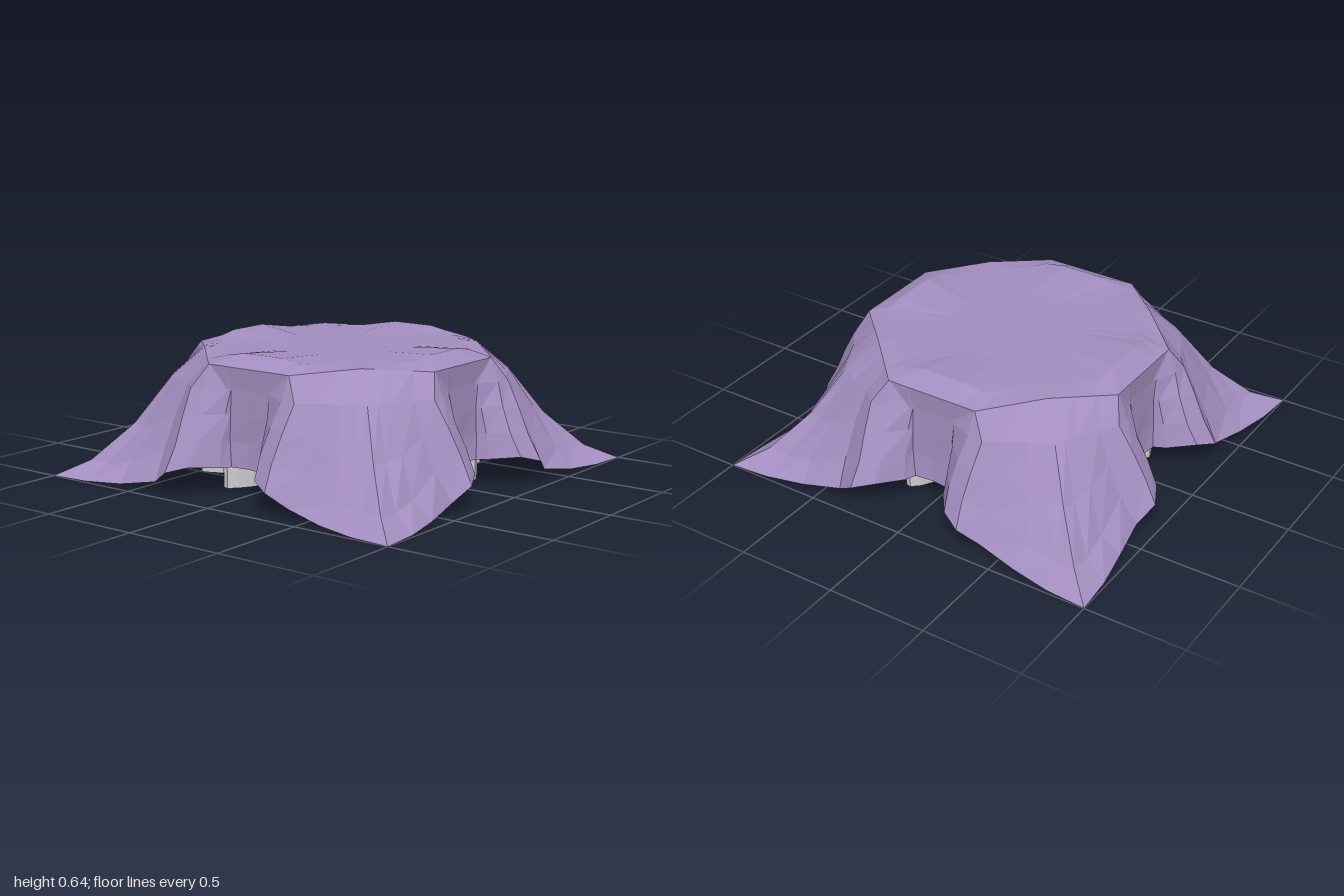
import * as THREE from 'three';

// Fold lines for one eighth of the cloth, from the middle of a side to the corner:
// x on the rim, then four points [x, y, z] down to the hem.
const FOLDS = [
  [0, [0, 0.49, 0.705], [0, 0.36, 0.71], [0, 0.24, 0.71], [0, 0.125, 0.72]],
  [0.13, [0.108, 0.49, 0.705], [0.11, 0.37, 0.71], [0.11, 0.25, 0.715], [0.09, 0.125, 0.73]],
  [0.235, [0.125, 0.485, 0.71], [0.125, 0.37, 0.73], [0.12, 0.25, 0.765], [0.11, 0.13, 0.79]],
  [0.238, [0.232, 0.48, 0.755], [0.205, 0.37, 0.8], [0.19, 0.25, 0.855], [0.2, 0.14, 0.91]],
  [0.24, [0.31, 0.48, 0.76], [0.3, 0.36, 0.83], [0.29, 0.23, 0.895], [0.3, 0.11, 0.96]],
  [0.31, [0.385, 0.48, 0.7], [0.41, 0.33, 0.765], [0.415, 0.18, 0.84], [0.4, 0.045, 0.92]],
  [0.39, [0.49, 0.48, 0.65], [0.56, 0.27, 0.76], [0.62, 0.095, 0.86], [0.6, 0.01, 0.95]],
  [0.435, [0.55, 0.48, 0.62], [0.65, 0.25, 0.735], [0.76, 0.07, 0.87], [0.8, 0, 0.985]],
  [0.475, [0.59, 0.48, 0.59], [0.72, 0.25, 0.72], [0.87, 0.075, 0.87], [1, 0, 1]],
];

// Full fold line: centre, two rings on the flat top, octagonal rim, then the skirt
function foldLine([x, ...skirt]) {
  const z = x < 0.24 ? 0.71 : 0.95 - x;
  const rimY = 0.593 + Math.max(0, x - 0.24) * 0.1;
  const innerY = 0.643 - 0.024 * THREE.MathUtils.smoothstep(x, 0.12, 0.31);
  return [
    [0, 0.618, 0],
    [x * 0.45, 0.62, z * 0.45],
    [x * 0.85, innerY, z * 0.85],
    [x, rimY, z],
    ...skirt,
  ];
}

function clothGeometry() {
  const eighth = FOLDS.map(foldLine);
  // Mirror across the diagonal to make a quarter
  const mirrored = eighth.slice(1, -1).reverse().map(line => line.map(([x, y, z]) => [z, y, x]));
  const quarter = [...eighth, ...mirrored];
  const lines = [];
  for (let q = 0; q < 4; q++) {
    const c = Math.round(Math.cos(q * Math.PI / 2));
    const s = Math.round(Math.sin(q * Math.PI / 2));
    for (const line of quarter) {
      lines.push(line.map(([x, y, z]) => [x * c + z * s, y, z * c - x * s]));
    }
  }
  const rows = lines[0].length;
  const index = [];
  for (let j = 0; j < lines.length; j++) {
    const a = j * rows;
    const b = ((j + 1) % lines.length) * rows;
    for (let i = 0; i < rows - 1; i++) {
      if (i > 0) index.push(a + i, a + i + 1, b + i);
      index.push(b + i, a + i + 1, b + i + 1);
    }
  }
  const geometry = new THREE.BufferGeometry();
  geometry.setAttribute('position', new THREE.Float32BufferAttribute(lines.flat(2), 3));
  geometry.setIndex(index);
  geometry.computeVertexNormals();
  return geometry;
}

function gearGeometry(teeth, height) {
  // Tooth outline: distance from the axis and half width
  const half = [[0.43, 0.052], [0.5, 0.062], [0.58, 0.062], [0.65, 0.043], [0.695, 0.015]];
  const tooth = [
    ...half.map(([r, w]) => [r, -w]),
    ...half.slice().reverse(),
  ];
  const points = [];
  for (let i = 0; i < teeth; i++) {
    // Gaps, not teeth, face the four sides
    const a = (i + 0.5) / teeth * Math.PI * 2;
    for (const [r, w] of tooth) {
      points.push(new THREE.Vector2(r, w).rotateAround(new THREE.Vector2(), a));
    }
  }
  const shape = new THREE.Shape(points);
  const bore = new THREE.Path();
  bore.absarc(0, 0, 0.12, 0, Math.PI * 2, true);
  shape.holes.push(bore);
  const geometry = new THREE.ExtrudeGeometry(shape, { depth: height, bevelEnabled: false, curveSegments: 12 });
  return geometry.rotateX(-Math.PI / 2);
}

export function createModel() {
  const model = new THREE.Group();
  model.name = 'drapedGear';

  // Toothed wheel standing under the cloth
  const gear = new THREE.Mesh(
    gearGeometry(12, 0.59),
    new THREE.MeshStandardMaterial({ color: 0xcccccc }),
  );
  gear.name = 'gear';

  // Square cloth with folds at the sides and flared corners
  const cloth = new THREE.Mesh(
    clothGeometry(),
    new THREE.MeshStandardMaterial({ color: 0xa38ec0, flatShading: true, side: THREE.DoubleSide }),
  );
  cloth.name = 'cloth';

  model.add(gear, cloth);
  return model;
}
